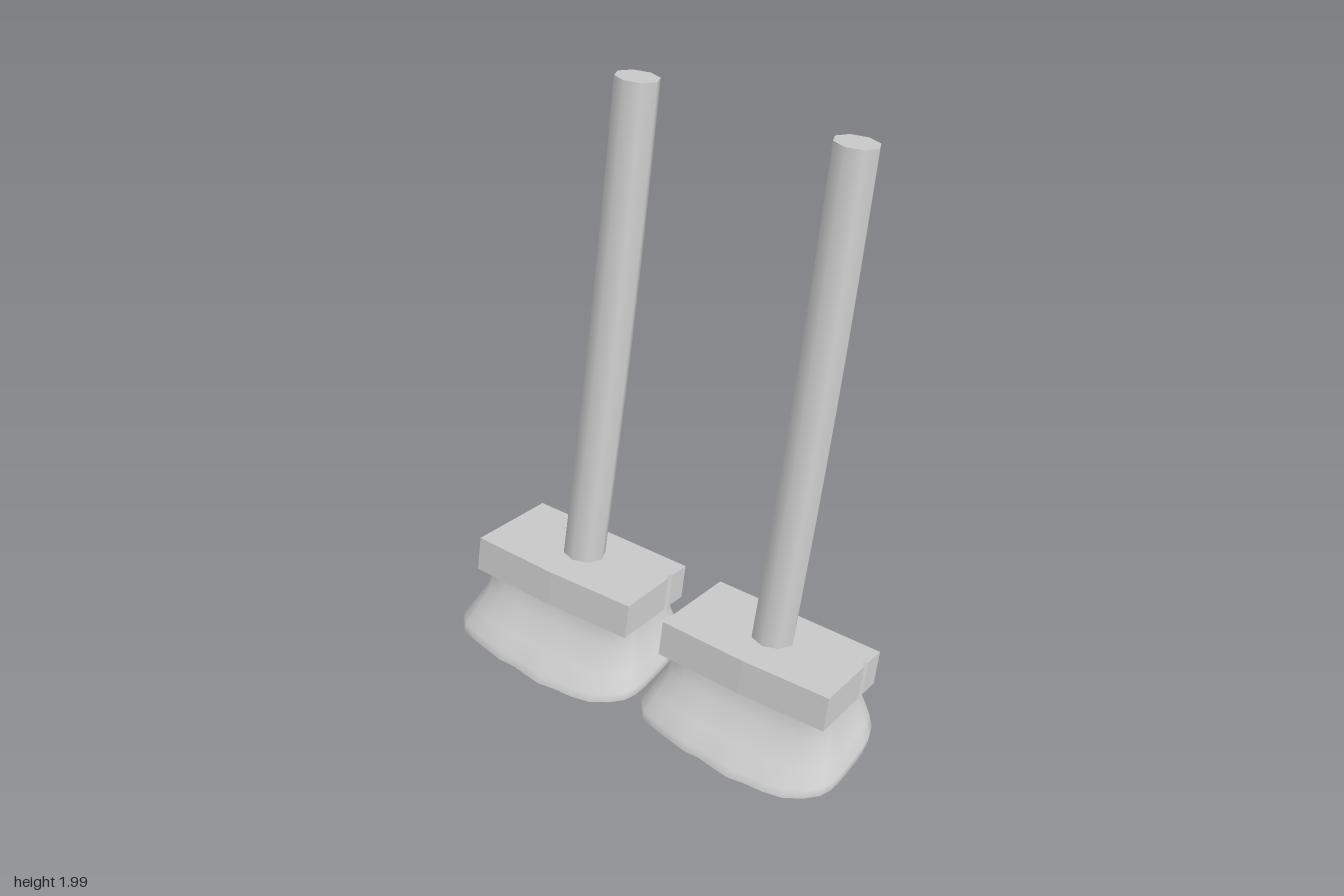
import * as THREE from 'three';

const TILT = -0.218;

const grey = (side = THREE.FrontSide) => new THREE.MeshStandardMaterial({ color: 0xcccccc, side });

function part(name, geometry, material = grey()) {
  const mesh = new THREE.Mesh(geometry, material);
  mesh.name = name;
  return mesh;
}

// Eight-sided stick with a faint sideways bow
function handleGeometry() {
  const r = 0.073, from = -0.03, length = 1.685;
  const g = new THREE.CylinderGeometry(r, r, length - from, 8, 8);
  g.translate(0, (length + from) / 2, -0.01);
  const p = g.attributes.position;
  for (let i = 0; i < p.count; i++) {
    const t = Math.max(0, p.getY(i)) / length;
    p.setX(i, p.getX(i) + 0.009 * Math.sin(Math.PI * t));
  }
  g.computeBoundingSphere();
  return g;
}

// Head block with a slightly bowed front and a small split in one end
function blockGeometry() {
  const outline = [
    [-0.31, 0.18], [-0.315, -0.17], [0, -0.182], [0.312, -0.172],
    [0.31, 0.07], [0.296, 0.083], [0.31, 0.098], [0.31, 0.18],
  ];
  const shape = new THREE.Shape(outline.map(([x, y]) => new THREE.Vector2(x, y)));
  const g = new THREE.ExtrudeGeometry(shape, { depth: 0.125, bevelEnabled: false });
  g.rotateX(-Math.PI / 2);
  g.translate(0, -0.125, 0);
  return g;
}

// Each bristle section: front y, back y, front z, back z, half width, squareness, raggedness
const SECTIONS = [
  [0.28, 0.21, 0.205, -0.09, 0.295, 9, 0],
  [0.235, 0.17, 0.218, -0.085, 0.3, 8, 0],
  [0.17, 0.125, 0.24, -0.1, 0.316, 6, 0.1],
  [0.105, 0.09, 0.312, -0.11, 0.343, 5, 0.4],
  [0.06, 0.06, 0.37, -0.107, 0.37, 4.2, 0.9],
  [0.036, 0.03, 0.385, -0.09, 0.372, 4, 1],
  [0.033, 0.003, 0.382, -0.06, 0.362, 4, 1],
];
const SIDES = 40;

function sectionPoint([yF, yB, zF, zB, half, n, rag], k) {
  const a = (k / SIDES) * Math.PI * 2;
  const s = Math.sin(a), c = Math.cos(a);
  const d = Math.pow(Math.abs(s) ** n + Math.abs(c) ** n, -1 / n);
  const x = half * s * d;
  const w = (c * d + 1) / 2;
  const wave = rag * w * w * (0.013 * Math.sin(x * 9 + 0.7) + 0.005 * Math.sin(x * 34));
  return [x, yB + (yF - yB) * w, zB + (zF - zB) * w + wave];
}

function bristleSides() {
  const pos = [], index = [];
  SECTIONS.forEach((section, j) => {
    for (let k = 0; k < SIDES; k++) {
      pos.push(...sectionPoint(section, k));
      if (j === 0) continue;
      const k2 = (k + 1) % SIDES, up = (j - 1) * SIDES, low = j * SIDES;
      index.push(up + k, low + k, low + k2, up + k, low + k2, up + k2);
    }
  });
  const g = new THREE.BufferGeometry();
  g.setAttribute('position', new THREE.Float32BufferAttribute(pos, 3));
  g.setIndex(index);
  g.computeVertexNormals();
  return g;
}

// Flat trimmed underside
function bristleBase() {
  const last = SECTIONS[SECTIONS.length - 1];
  const pos = [0, (last[0] + last[1]) / 2, (last[2] + last[3]) / 2], index = [];
  for (let k = 0; k < SIDES; k++) {
    pos.push(...sectionPoint(last, k));
    index.push(0, 1 + ((k + 1) % SIDES), 1 + k);
  }
  const g = new THREE.BufferGeometry();
  g.setAttribute('position', new THREE.Float32BufferAttribute(pos, 3));
  g.setIndex(index);
  g.computeVertexNormals();
  return g;
}

function createBroom(name) {
  const broom = new THREE.Group();
  broom.name = name;

  // Handle and block lean back together
  const upper = new THREE.Group();
  upper.name = 'handleAndBlock';
  upper.position.set(0, 0.3375, 0.045);
  upper.rotation.x = TILT;
  upper.add(part('handle', handleGeometry()), part('headBlock', blockGeometry()));

  // Flared bristles sweep forward to the floor
  const bristles = new THREE.Group();
  bristles.name = 'bristles';
  bristles.add(
    part('bristleSides', bristleSides(), grey(THREE.DoubleSide)),
    part('bristleUnderside', bristleBase()),
  );

  broom.add(upper, bristles);
  return broom;
}

export function createModel() {
  const model = new THREE.Group();
  model.name = 'broomPair';
  for (const [name, x] of [['rightBroom', -0.381], ['leftBroom', 0.381]]) {
    const broom = createBroom(name);
    broom.position.x = x;
    model.add(broom);
  }
  return model;
}
